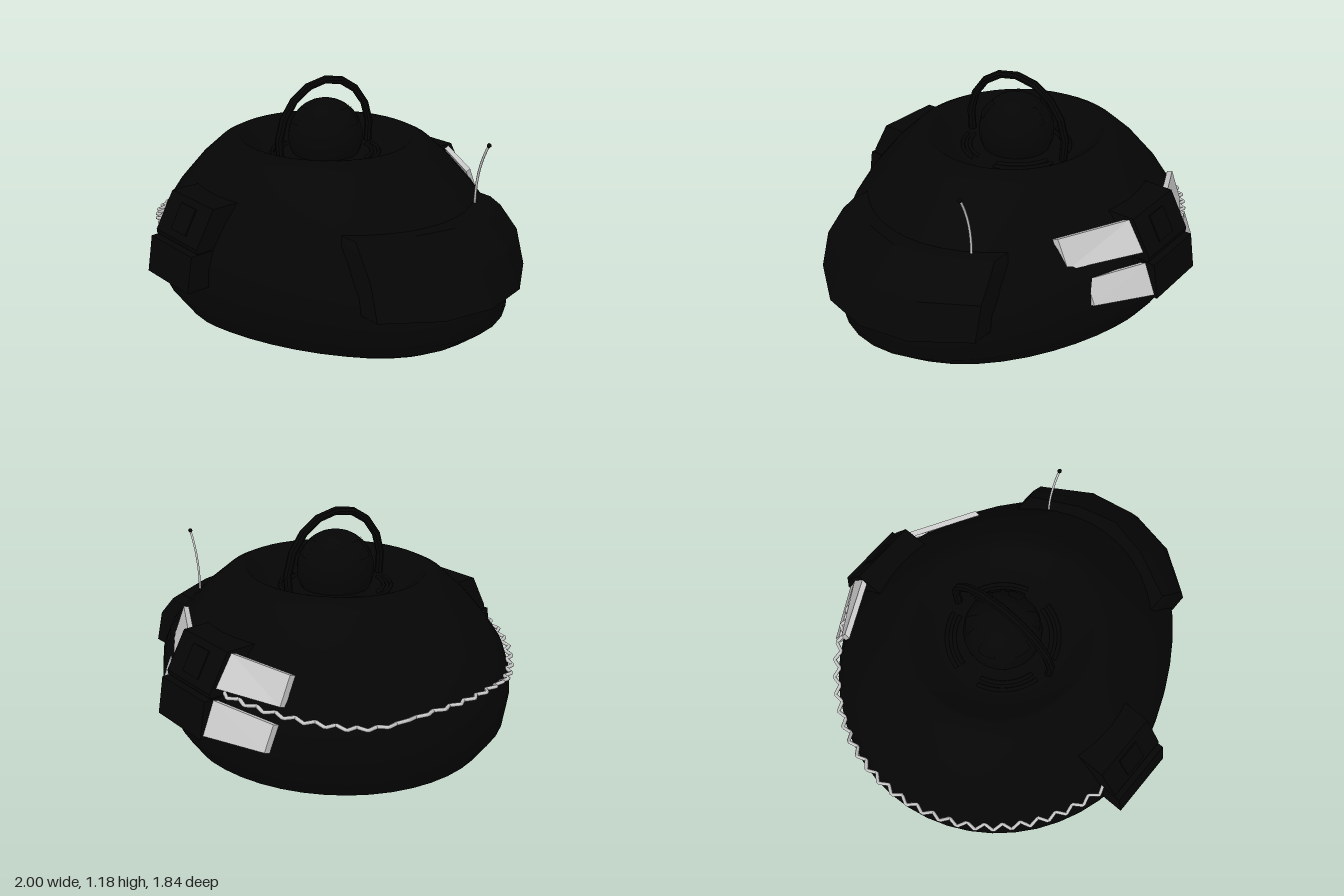
import * as THREE from 'three';

const black = new THREE.MeshStandardMaterial({ color: 0x050505 });
const blackFlat = new THREE.MeshStandardMaterial({ color: 0x050505, flatShading: true });
const grey = new THREE.MeshStandardMaterial({ color: 0xcccccc });
const greyFlat = new THREE.MeshStandardMaterial({ color: 0xcccccc, flatShading: true, side: THREE.DoubleSide });

const CX = -0.12; // centre of the turret well

function add(parent, name, geometry, material) {
  const mesh = new THREE.Mesh(geometry, material);
  mesh.name = name;
  parent.add(mesh);
  return mesh;
}

// Skin between closed cross-sections, with both ends capped at their centroid
function loft(sections) {
  const n = sections[0].length;
  const cap = (s) => {
    const c = s.reduce((a, p) => a.map((v, k) => v + p[k] / n), [0, 0, 0]);
    return s.map(() => c);
  };
  const rows = [cap(sections[0]), ...sections, cap(sections[sections.length - 1])];
  const index = [];
  for (let i = 0; i < rows.length - 1; i++) {
    for (let j = 0; j < n; j++) {
      const a = i * n + j, b = i * n + (j + 1) % n;
      if (i < rows.length - 2) index.push(a, a + n, b + n);
      if (i > 0) index.push(a, b + n, b);
    }
  }
  const g = new THREE.BufferGeometry();
  g.setAttribute('position', new THREE.Float32BufferAttribute(rows.flat(2), 3));
  g.setIndex(index);
  g.computeVertexNormals();
  return g;
}

// Egg-shaped hull: rows of height, blunt reach, pointed reach, half width
function hullGeometry() {
  const rows = [
    [0, 0.51, 0.65, 0.48], [0.037, 0.66, 0.83, 0.63], [0.1, 0.78, 0.93, 0.74],
    [0.2, 0.85, 1.05, 0.81], [0.33, 0.866, 1.05, 0.835], [0.43, 0.855, 1.02, 0.828],
    [0.535, 0.82, 0.94, 0.793], [0.64, 0.755, 0.82, 0.72], [0.765, 0.645, 0.675, 0.615],
    [0.86, 0.535, 0.555, 0.515], [0.882, 0.49, 0.505, 0.47], [0.89, 0.46, 0.46, 0.43],
    [0.889, 0.44, 0.44, 0.41], [0.82, 0.35, 0.35, 0.35], [0.8, 0.28, 0.28, 0.28],
  ];
  return loft(rows.map(([y, blunt, point, width]) => {
    const power = 1 + (point / blunt - 1) * 1.7;
    return Array.from({ length: 48 }, (_, j) => {
      const t = (j / 48) * Math.PI * 2, c = Math.cos(t);
      const x = c > 0 ? point * Math.pow(c, power) : blunt * c;
      return [CX + x, y, width * Math.sin(t)];
    });
  }));
}

// Faceted hood over the pointed end
function hoodGeometry() {
  const rows = [
    [0.355, [0.78, 0.475], [0.95, 0.24], 1.0],
    [0.52, [0.73, 0.47], [0.88, 0.23], 0.92],
    [0.62, [0.64, 0.45], [0.76, 0.22], 0.805],
    [0.655, [0.59, 0.43], [0.71, 0.2], 0.76],
  ];
  return loft(rows.map(([y, a, b, tip]) => [
    [0.3, y, -a[1]], [a[0], y, -a[1]], [b[0], y, -b[1]], [tip, y, 0],
    [b[0], y, b[1]], [a[0], y, a[1]], [0.3, y, a[1]],
  ]));
}

// Two stacked wedge blocks and a hatch on the flank
function makePod() {
  const pod = new THREE.Group();
  const block = (name, pts) => {
    const shape = new THREE.Shape(pts.map(([z, y]) => new THREE.Vector2(z, y)));
    const g = new THREE.ExtrudeGeometry(shape, { depth: 0.34, bevelEnabled: false });
    g.rotateY(-Math.PI / 2).translate(0.02, 0, 0);
    add(pod, name, g, blackFlat);
  };
  block('upperBlock', [[0.6, 0.72], [0.765, 0.72], [0.862, 0.55], [0.86, 0.53], [0.6, 0.53]]);
  block('lowerBlock', [[0.65, 0.53], [0.89, 0.525], [0.92, 0.355], [0.65, 0.355]]);
  const hatch = add(pod, 'hatch', new THREE.BoxGeometry(0.12, 0.13, 0.012), blackFlat);
  hatch.position.set(-0.15, 0.635, 0.814);
  hatch.rotation.x = -0.51;
  return pod;
}

// Slanted panel between an inner and an outer edge, each [x, z top, y top, z bottom, y bottom]
function flapGeometry(inner, outer) {
  const t = 0.028;
  return loft([inner, outer].map(([x, z1, y1, z2, y2]) => [
    [x, y1, z1], [x, y2, z2], [x, y2 - 0.01, z2 + t], [x, y1 - 0.01, z1 + t],
  ]));
}

// Height of the cable at a given x, between a few hanging points
function cableHeight(x) {
  const pts = [[-1, 0.51], [-0.95, 0.5], [-0.9, 0.47], [-0.84, 0.46], [-0.7, 0.485], [-0.5, 0.515], [-0.3, 0.54]];
  let i = 0;
  while (i < pts.length - 2 && x > pts[i + 1][0]) i++;
  return THREE.MathUtils.mapLinear(x, pts[i][0], pts[i + 1][0], pts[i][1], pts[i + 1][1]);
}

export function createModel() {
  const model = new THREE.Group();
  model.name = 'vehicle';

  add(model, 'hull', hullGeometry(), black);
  add(model, 'rearHood', hoodGeometry(), blackFlat);

  // Ball turret with raised plates and an overhead hoop
  const turret = new THREE.Group();
  turret.name = 'turret';
  turret.position.set(CX, 0.885, 0);
  model.add(turret);
  add(turret, 'ball', new THREE.SphereGeometry(0.185, 24, 16), black);
  for (let i = 0; i < 6; i++) {
    const a = (i / 6) * Math.PI * 2;
    add(turret, 'ballPlate', new THREE.SphereGeometry(0.189, 5, 4, a, 0.5, 0.65, 0.5), black);
  }
  const hoopGeo = new THREE.TorusGeometry(0.29, 0.02, 8, 10, Math.PI * 1.16);
  hoopGeo.rotateZ(-Math.PI * 0.08).rotateY(Math.PI / 2);
  add(turret, 'hoop', hoopGeo, blackFlat).position.y = -0.012;
  for (const r of [0.23, 0.265]) {
    for (let i = 0; i < 4; i++) {
      const arc = add(turret, 'wellRing', new THREE.TorusGeometry(r, 0.01, 6, 12, 1.1), black);
      arc.rotation.set(-Math.PI / 2, 0, i * Math.PI / 2 + 0.24);
      arc.position.y = -0.08;
    }
  }

  // Flank pods on both sides
  const frontPod = makePod();
  frontPod.name = 'frontPod';
  const backPod = makePod();
  backPod.name = 'backPod';
  backPod.rotation.y = Math.PI;
  backPod.position.x = -0.3;
  model.add(frontPod, backPod);

  // Grey flaps beside the back pod
  const flaps = [
    ['left', 0.02, [0.33, -0.575, 0.695, -0.635, 0.56], [0.27, -0.695, 0.5, -0.745, 0.38]],
    ['right', -0.32, [-0.575, -0.63, 0.665, -0.685, 0.535], [-0.575, -0.72, 0.465, -0.77, 0.35]],
  ];
  for (const [side, x, upper, lower] of flaps) {
    add(model, side + 'UpperFlap', flapGeometry([x, -0.745, 0.71, -0.83, 0.57], upper), greyFlat);
    add(model, side + 'LowerFlap', flapGeometry([x, -0.845, 0.52, -0.905, 0.37], lower), greyFlat);
  }

  // Zigzag cable slung around the blunt end
  const cable = new THREE.CurvePath();
  const knots = Array.from({ length: 53 }, (_, i) => {
    const a = THREE.MathUtils.degToRad(103 + (i / 52) * 154);
    const zig = i % 2 ? 0.015 : -0.015;
    const x = CX + (0.862 + zig) * Math.cos(a);
    return new THREE.Vector3(x, cableHeight(x), (0.82 + zig) * Math.sin(a));
  });
  for (let i = 0; i < knots.length - 1; i++) cable.add(new THREE.LineCurve3(knots[i], knots[i + 1]));
  add(model, 'cable', new THREE.TubeGeometry(cable, 400, 0.009, 6), grey);

  // Whip antenna with a small tip
  const whip = new THREE.QuadraticBezierCurve3(
    new THREE.Vector3(0.6, 0.64, -0.31), new THREE.Vector3(0.595, 0.82, -0.31), new THREE.Vector3(0.668, 0.95, -0.31));
  add(model, 'antenna', new THREE.TubeGeometry(whip, 12, 0.006, 6), grey);
  add(model, 'antennaTip', new THREE.SphereGeometry(0.011, 8, 6), black).position.set(0.668, 0.95, -0.31);

  return model;
}
